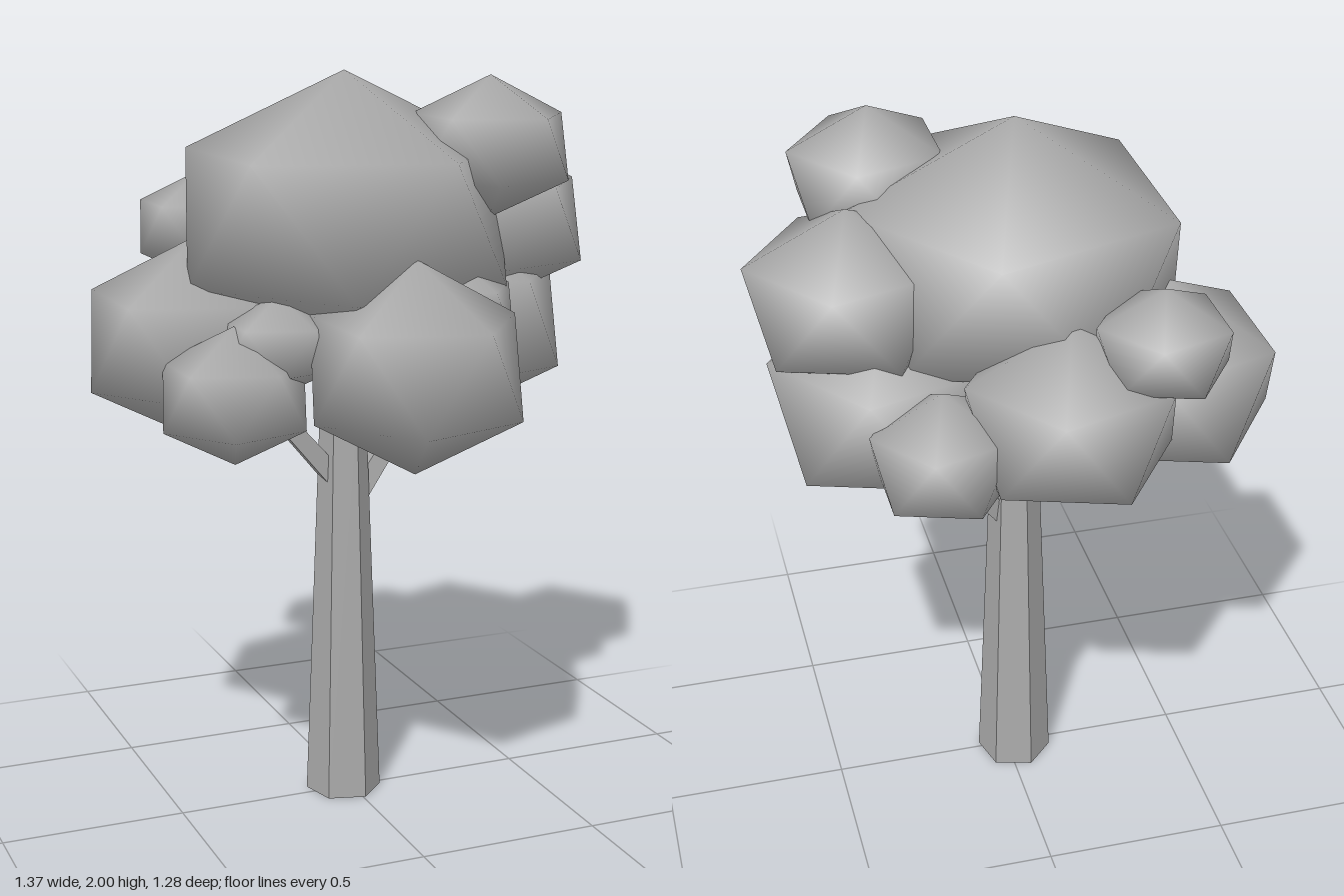
import * as THREE from 'three';

const grey = new THREE.MeshStandardMaterial({ color: 0xaaaaaa });
grey.name = 'plain grey';

// Smooth-shaded icosahedron standing on its pole: two staggered rings of five plus two tips
function clumpGeometry(ringRadius, halfHeight) {
  const pos = [0, halfHeight, 0, 0, -halfHeight, 0];
  const index = [];
  const ringY = halfHeight / Math.sqrt(5);
  for (let i = 0; i < 5; i++) {
    const a = (i * 2 * Math.PI) / 5, b = a + Math.PI / 5;
    pos.push(ringRadius * Math.cos(a), ringY, ringRadius * Math.sin(a));
    pos.push(ringRadius * Math.cos(b), -ringY, ringRadius * Math.sin(b));
  }
  for (let i = 0; i < 5; i++) {
    const j = (i + 1) % 5;
    const u0 = 2 + 2 * i, l0 = u0 + 1, u1 = 2 + 2 * j, l1 = u1 + 1;
    index.push(0, u1, u0, u0, u1, l0, l0, u1, l1, 1, l0, l1);
  }
  const geo = new THREE.BufferGeometry();
  geo.setAttribute('position', new THREE.Float32BufferAttribute(pos, 3));
  geo.setIndex(index);
  geo.computeVertexNormals();
  return geo;
}

// Faceted tapered post
function post(name, topR, bottomR, height, sides, start) {
  const geo = new THREE.CylinderGeometry(topR, bottomR, height, sides, 1, false, start).toNonIndexed();
  geo.computeVertexNormals();
  const mesh = new THREE.Mesh(geo, grey);
  mesh.name = name;
  return mesh;
}

// Square limb running between two points
function branch(name, from, to) {
  const a = new THREE.Vector3(...from), b = new THREE.Vector3(...to);
  const dir = b.clone().sub(a);
  const mesh = post(name, 0.03, 0.038, dir.length(), 4, Math.PI / 4);
  mesh.position.copy(a).add(b).multiplyScalar(0.5);
  mesh.quaternion.setFromUnitVectors(new THREE.Vector3(0, 1, 0), dir.normalize());
  return mesh;
}

export function createModel() {
  const tree = new THREE.Group();
  tree.name = 'tree';

  // Trunk and forking limbs
  const trunk = post('trunk', 0.063, 0.104, 1.1, 6, Math.PI / 12);
  trunk.position.set(-0.02, 0.55, -0.01);
  tree.add(trunk);
  tree.add(branch('leftBranch', [0.0, 0.83, -0.01], [0.25, 1.14, -0.07]));
  tree.add(branch('rightBranch', [-0.04, 0.9, -0.01], [-0.24, 1.13, 0]));

  // Leaf clumps: name, centre x, y, z, ring radius, half height
  const clumps = [
    ['crownClump', -0.02, 1.62, 0, 0.437, 0.38],
    ['topLeftClump', 0.315, 1.805, 0.18, 0.208, 0.185],
    ['frontClump', 0.02, 1.278, 0.38, 0.276, 0.276],
    ['upperLeftClump', 0.417, 1.585, -0.04, 0.263, 0.235],
    ['lowerLeftClump', 0.34, 1.315, -0.09, 0.3, 0.291],
    ['backLeftClump', 0.257, 1.29, -0.38, 0.182, 0.18],
    ['backClump', -0.065, 1.365, -0.385, 0.268, 0.257],
    ['backRightClump', -0.285, 1.555, -0.425, 0.171, 0.152],
    ['rightClump', -0.393, 1.293, -0.13, 0.293, 0.275],
    ['frontRightClump', -0.395, 1.2, 0.18, 0.19, 0.18],
    ['innerRightClump', -0.27, 1.32, 0.17, 0.15, 0.13],
    ['innerLeftClump', 0.2, 1.39, 0.215, 0.16, 0.14],
    ['innerBackClump', 0.02, 1.27, -0.15, 0.14, 0.125],
  ];
  const foliage = new THREE.Group();
  foliage.name = 'foliage';
  for (const [name, x, y, z, r, h] of clumps) {
    const clump = new THREE.Mesh(clumpGeometry(r, h), grey);
    clump.name = name;
    clump.position.set(x, y, z);
    foliage.add(clump);
  }
  tree.add(foliage);
  return tree;
}
